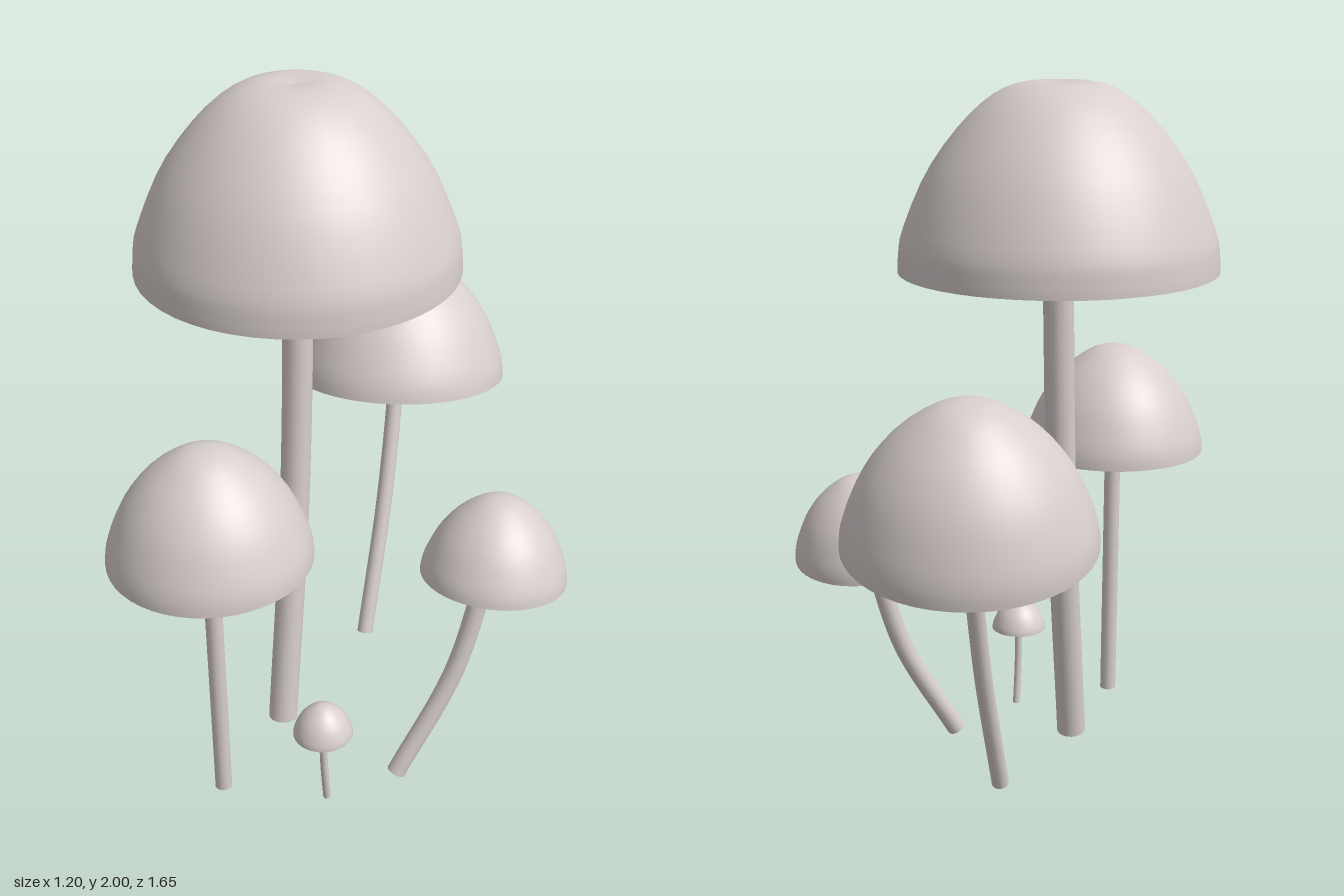
import * as THREE from 'three';

const v2 = (p) => new THREE.Vector2(p[0], p[1]);
const v3 = (p) => new THREE.Vector3(...p);
const UP = new THREE.Vector3(0, 1, 0);

// Unit cap profiles [radius, height], rim to crown
const BROAD = [[1, 0], [0.995, 0.08], [0.965, 0.22], [0.81, 0.53], [0.59, 0.79], [0.38, 0.945], [0.185, 1], [0, 0.985]];
const BELL = [[1, 0], [0.985, 0.12], [0.92, 0.29], [0.785, 0.53], [0.57, 0.76], [0.31, 0.93], [0.14, 0.988], [0, 1]];

// cap: rim centre, tilt: cap axis, stem: points from the foot to the neck
const MUSHROOMS = [
  { name: 'tallMushroom', profile: BROAD, cap: [-0.17, 1.505, 0.066], tilt: [0, 1, -0.012], r: 0.433, h: 0.495,
    stemR: 0.042, stem: [[-0.17, 0.078, 0.222], [-0.17, 0.8, 0.118], [-0.17, 1.5, 0.068]] },
  { name: 'backMushroom', profile: BELL, cap: [-0.16, 0.912, -0.505], tilt: [-0.07, 1, -0.18], r: 0.325, h: 0.378,
    stemR: 0.024, stem: [[-0.125, 0.105, -0.223], [-0.137, 0.52, -0.378], [-0.158, 0.91, -0.497]] },
  { name: 'frontMushroom', profile: BELL, cap: [-0.17, 0.88, 0.555], tilt: [0, 1, 0], r: 0.271, h: 0.32,
    stemR: 0.024, stem: [[-0.17, 0.078, 0.558], [-0.17, 0.48, 0.557], [-0.17, 0.88, 0.556]] },
  { name: 'sideMushroom', profile: BELL, cap: [0.394, 0.643, -0.008], tilt: [0, 1, -0.16], r: 0.206, h: 0.243,
    stemR: 0.028, stem: [[0.21, 0.013, 0.218], [0.322, 0.33, 0.077], [0.375, 0.65, -0.006]] },
  { name: 'tinyMushroom', profile: BELL, cap: [0.09, 0.287, 0.437], tilt: [0, 1, 0], r: 0.083, h: 0.094,
    stemR: 0.011, stem: [[0.09, 0.034, 0.421], [0.09, 0.15, 0.433], [0.09, 0.28, 0.438]] },
];

function addMesh(parent, name, geometry, material) {
  const mesh = new THREE.Mesh(geometry, material);
  mesh.name = name;
  parent.add(mesh);
  return mesh;
}

function buildMushroom(m, material) {
  const group = new THREE.Group();
  group.name = m.name;
  const axis = v3(m.tilt).normalize();
  const hollow = m.h * 0.55;

  // Domed cap with a conical hollow below
  const head = new THREE.Group();
  head.name = 'cap';
  head.position.copy(v3(m.cap));
  head.quaternion.setFromUnitVectors(UP, axis);
  const outline = new THREE.SplineCurve(m.profile.map(([r, y]) => v2([r * m.r, y * m.h]))).getPoints(20);
  outline.forEach((p) => { p.x = Math.max(p.x, 0); });
  addMesh(head, 'dome', new THREE.LatheGeometry(outline, 48), material);
  addMesh(head, 'gills', new THREE.LatheGeometry([v2([0, hollow]), v2([m.r * 0.5, hollow * 0.5]), v2([m.r, 0])], 48), material);
  group.add(head);

  // Curved stem running up into the hollow
  const tip = v3(m.cap).addScaledVector(axis, hollow + m.stemR * 0.5);
  const curve = new THREE.CatmullRomCurve3([...m.stem.map(v3), tip]);
  addMesh(group, 'stem', new THREE.TubeGeometry(curve, 28, m.stemR, 16), material);

  // Flat cut foot of the stem
  const foot = addMesh(group, 'foot', new THREE.CircleGeometry(m.stemR, 16), material);
  foot.position.copy(curve.getPoint(0));
  foot.quaternion.setFromUnitVectors(new THREE.Vector3(0, 0, 1), curve.getTangent(0).negate());
  return group;
}

export function createModel() {
  const material = new THREE.MeshStandardMaterial({ color: 0xd8cfcd });
  material.name = 'pale mushroom';
  const model = new THREE.Group();
  model.name = 'mushroomCluster';
  MUSHROOMS.forEach((m) => model.add(buildMushroom(m, material)));
  return model;
}
